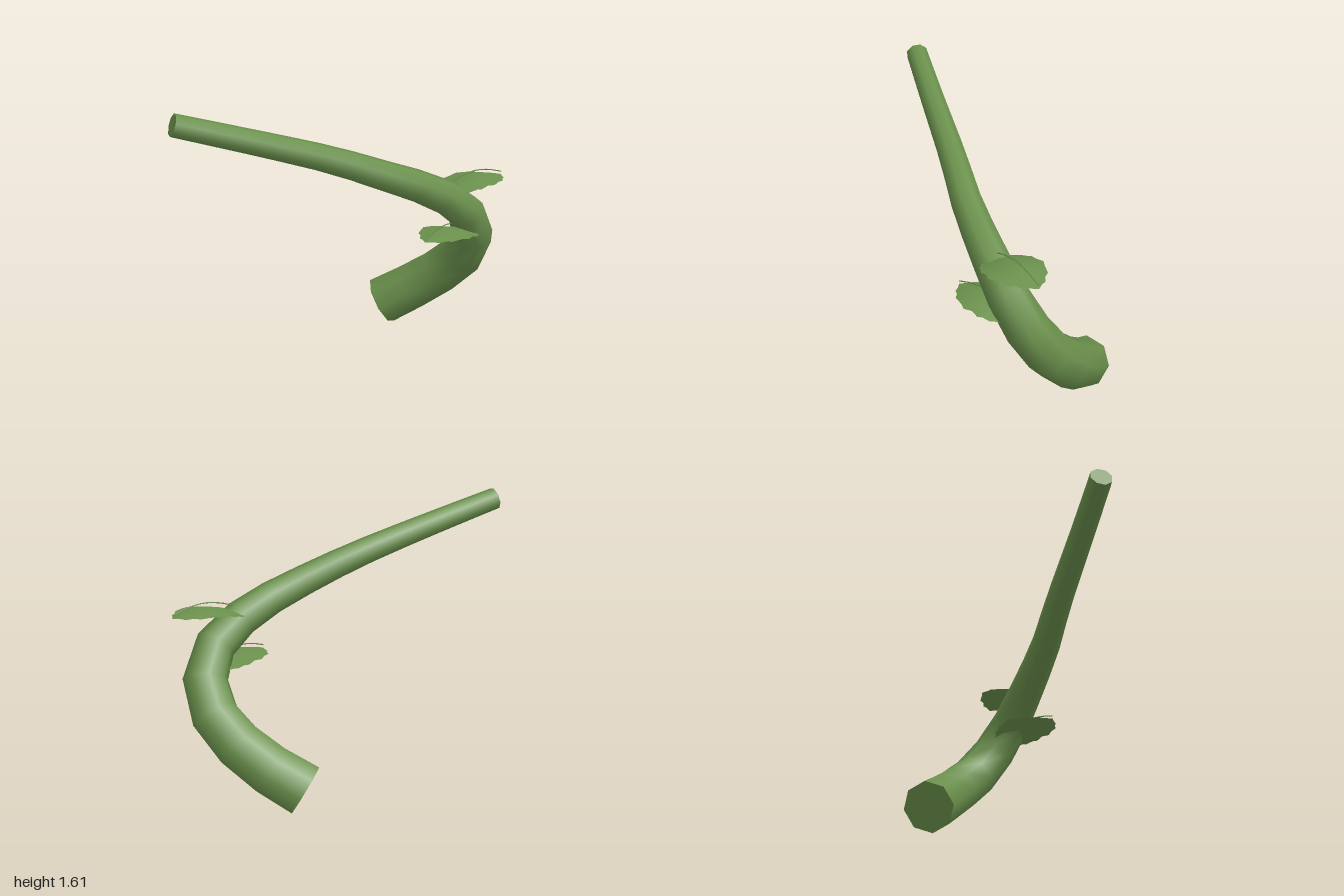
import * as THREE from 'three';

const SIDES = 8, SEGMENTS = 14;

// Centre line of the stem, thick foot first, with the radius as the fourth value
const STEM = [
  [0.65, 0.14, -0.35, 0.155], [0.78, 0.27, -0.17, 0.148], [0.86, 0.42, 0.02, 0.141],
  [0.87, 0.56, 0.16, 0.134], [0.815, 0.73, 0.255, 0.124], [0.685, 0.885, 0.282, 0.113],
  [0.47, 1.025, 0.238, 0.1], [0.22, 1.135, 0.16, 0.09], [-0.125, 1.28, 0.01, 0.079],
  [-0.55, 1.425, -0.17, 0.071], [-0.965, 1.56, -0.352, 0.065],
];

function polyMesh(name, positions, indices, material) {
  const geometry = new THREE.BufferGeometry();
  geometry.setAttribute('position', new THREE.Float32BufferAttribute(positions, 3));
  geometry.setIndex(indices);
  geometry.computeVertexNormals();
  const mesh = new THREE.Mesh(geometry, material);
  mesh.name = name;
  return mesh;
}

// Tapered tube with flat end caps
function buildStem(material) {
  const group = new THREE.Group();
  group.name = 'stem';
  const curve = new THREE.CatmullRomCurve3(STEM.map(([x, y, z]) => new THREE.Vector3(x, y, z)), false, 'centripetal');
  const tube = new THREE.TubeGeometry(curve, SEGMENTS, 1, SIDES, false);
  const pos = tube.attributes.position;
  const v = new THREE.Vector3();
  for (let i = 0; i <= SEGMENTS; i++) {
    const t = curve.getUtoTmapping(i / SEGMENTS) * (STEM.length - 1);
    const k = Math.min(Math.floor(t), STEM.length - 2);
    const radius = THREE.MathUtils.lerp(STEM[k][3], STEM[k + 1][3], t - k);
    const centre = curve.getPointAt(i / SEGMENTS);
    for (let j = 0; j <= SIDES; j++) {
      const n = i * (SIDES + 1) + j;
      v.fromBufferAttribute(pos, n).sub(centre).multiplyScalar(radius).add(centre);
      pos.setXYZ(n, v.x, v.y, v.z);
    }
  }
  const body = new THREE.Mesh(tube, material);
  body.name = 'stemBody';
  group.add(body);

  for (const [name, ring] of [['footCap', 0], ['tipCap', SEGMENTS]]) {
    const points = curve.getPointAt(ring / SEGMENTS).toArray();
    const faces = [];
    for (let j = 0; j <= SIDES; j++) {
      points.push(...v.fromBufferAttribute(pos, ring * (SIDES + 1) + j).toArray());
      if (j < SIDES) faces.push(0, ...(ring === 0 ? [j + 1, j + 2] : [j + 2, j + 1]));
    }
    group.add(polyMesh(name, points, faces, material));
  }
  return group;
}

// Arched leaf with toothed edges and a fine raised vein; base at u = 0, tip at u = 1
function buildLeaf(name, baseX, dir, lift, stemMaterial, leafMaterial) {
  const group = new THREE.Group();
  group.name = name;
  // [distance along the leaf, half width], every tooth ending in a small step
  const edge = [
    [0, 0.03], [0.03, 0.09], [0.11, 0.115], [0.13, 0.13], [0.24, 0.145], [0.28, 0.162],
    [0.4, 0.155], [0.5, 0.172], [0.61, 0.148], [0.68, 0.138], [0.76, 0.125], [0.82, 0.09],
    [0.9, 0.07], [0.93, 0.04], [1, 0],
  ];
  const arch = (u) => 1.025 + 0.02 * u + 0.045 * Math.sin(Math.PI * u);
  const axisX = (u) => baseX + dir * 0.428 * u;
  const axisZ = (u) => 0.26 + 0.05 * u;

  const points = [], faces = [];
  edge.forEach(([u, w], i) => {
    for (const s of [-1, -0.5, 0, 0.5, 1]) {
      points.push(axisX(u) - dir * s * w * 0.1, arch(u) + lift - 0.17 * Math.abs(s) * w, axisZ(u) + s * w);
    }
    if (i === 0) return;
    for (let c = 0; c < 4; c++) {
      const a = (i - 1) * 5 + c, b = a + 5;
      if (dir > 0) faces.push(a, a + 1, b, b, a + 1, b + 1);
      else faces.push(a, b, a + 1, b, b + 1, a + 1);
    }
  });
  group.add(polyMesh('leafBlade', points, faces, leafMaterial));

  const path = [0, 0.25, 0.5, 0.75, 1].map((u) =>
    new THREE.Vector3(axisX(u), arch(u) + lift + 0.028 - 0.01 * u, axisZ(u)));
  const vein = new THREE.Mesh(
    new THREE.TubeGeometry(new THREE.CatmullRomCurve3(path), 14, 0.0035, 5, false), stemMaterial);
  vein.name = 'leafVein';
  group.add(vein);
  return group;
}

export function createModel() {
  const stemGreen = new THREE.MeshStandardMaterial({ color: 0x6b914d });
  stemGreen.name = 'stemGreen';
  const leafGreen = new THREE.MeshStandardMaterial({ color: 0x6b914d, side: THREE.DoubleSide });
  leafGreen.name = 'leafGreen';

  const model = new THREE.Group();
  model.name = 'vine';
  model.add(buildStem(stemGreen));
  // Two mirrored leaves, one on each side of the bend
  model.add(buildLeaf('upperLeaf', 0.57, 1, 0, stemGreen, leafGreen));
  model.add(buildLeaf('lowerLeaf', 0.755, -1, -0.285, stemGreen, leafGreen));
  return model;
}
